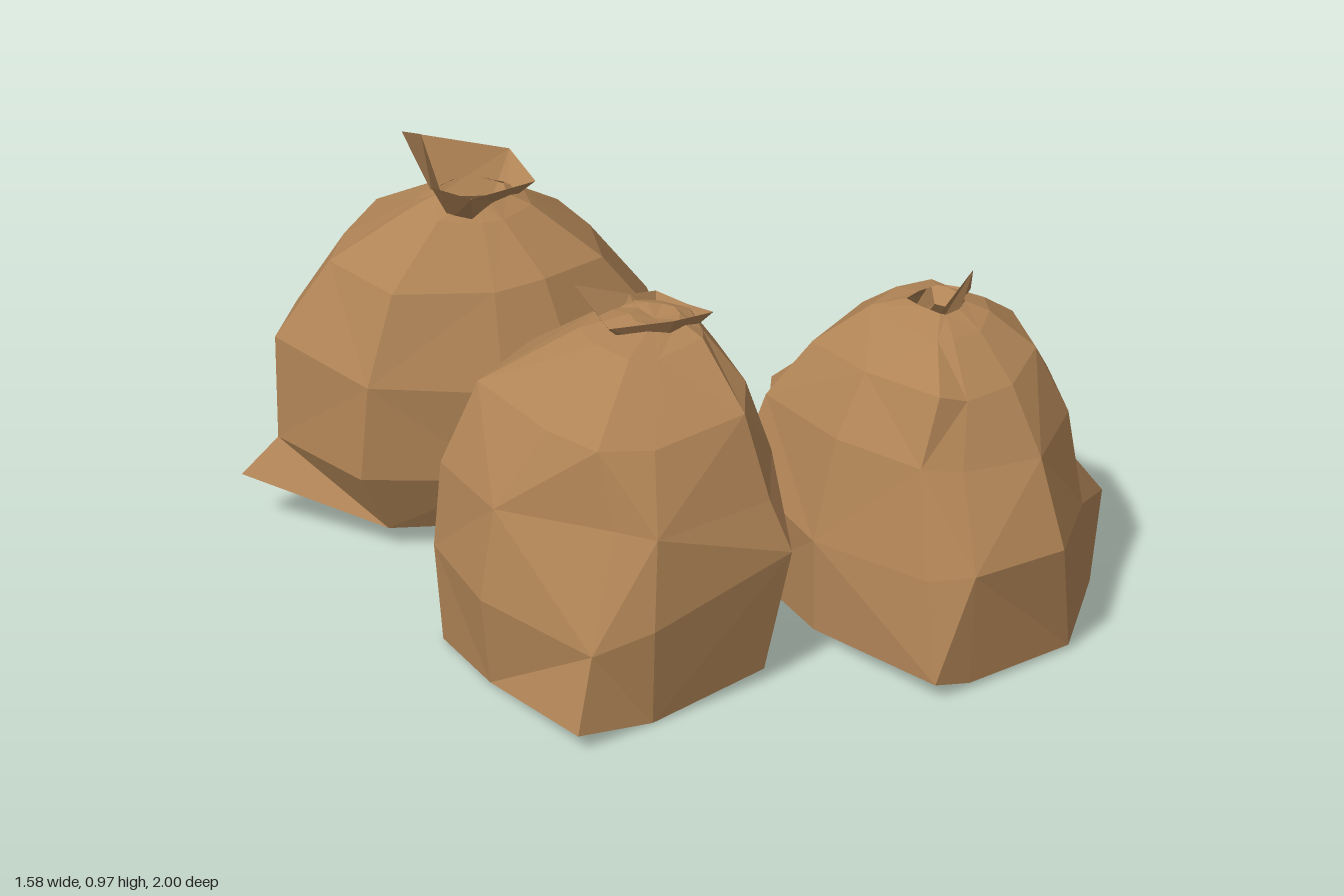
import * as THREE from 'three';

const paper = new THREE.MeshStandardMaterial({ color: 0xb08456, side: THREE.DoubleSide });
paper.name = 'brown sack';

// Small seeded noise for the crumpled surface
function makeNoise(seed) {
  let s = seed;
  return (amount) => {
    s = (s * 16807) % 2147483647;
    return (s / 2147483647 - 0.5) * 2 * amount;
  };
}

// Joins rings of points (bottom to top, counterclockwise from above) into flat facets.
// Optional end points close the first and last ring.
function loft(rings, bottom, top) {
  const pos = [];
  const tri = (a, b, c) => pos.push(...a, ...b, ...c);
  const n = rings[0].length;
  for (let i = 0; i < rings.length - 1; i++) {
    for (let j = 0; j < n; j++) {
      const k = (j + 1) % n;
      const a = rings[i][j], b = rings[i][k], c = rings[i + 1][k], d = rings[i + 1][j];
      if ((i + j) % 2) { tri(a, b, c); tri(a, c, d); }
      else { tri(a, b, d); tri(b, c, d); }
    }
  }
  const last = rings[rings.length - 1];
  for (let j = 0; j < n; j++) {
    const k = (j + 1) % n;
    if (bottom) tri(rings[0][k], rings[0][j], bottom);
    if (top) tri(last[j], last[k], top);
  }
  const g = new THREE.BufferGeometry();
  g.setAttribute('position', new THREE.Float32BufferAttribute(pos, 3));
  g.computeVertexNormals();
  return g;
}

// One sack: plan outline swept through [height, scale, drift towards the neck],
// with some corners pulled to [ring, index, point], and a gathered knot on top.
// An open sack has a hole in its underside and at the neck.
function makeSack({ name, open, outline, centre, neck, profile, pulls, knot, seed }) {
  const noise = makeNoise(seed);
  const rings = profile.map(([y, scale, drift], i) => {
    const cx = THREE.MathUtils.lerp(centre[0], neck[0], drift);
    const cz = THREE.MathUtils.lerp(centre[1], neck[2], drift);
    const rough = i < 2 ? 0.01 : 0.028 * scale;
    return outline.map(([x, z]) => [
      cx + (x - centre[0]) * scale + noise(rough * 0.6),
      y + noise(rough),
      cz + (z - centre[1]) * scale + noise(rough * 0.6),
    ]);
  });
  for (const [ring, index, point] of pulls) rings[ring][index] = point;

  const sack = new THREE.Group();
  sack.name = name;
  const base = open ? null : [centre[0], profile[0][0], centre[1]];
  const body = new THREE.Mesh(loft(rings, base, open ? null : neck), paper);
  body.name = name + 'Body';

  // Ragged gathered paper flaring from the neck
  const foot = knot.map(([x, , z]) => [
    neck[0] + (x - neck[0]) * 0.55, neck[1] - 0.04, neck[2] + (z - neck[2]) * 0.55,
  ]);
  const tie = new THREE.Mesh(loft([foot, knot]), paper);
  tie.name = name + 'Knot';
  sack.add(body, tie);
  return sack;
}

export function createModel() {
  const model = new THREE.Group();
  model.name = 'sackPile';

  model.add(makeSack({
    name: 'backSack', seed: 11, open: true,
    outline: [[0.3, -0.38], [0.33, -0.62], [0.15, -0.93], [-0.15, -0.99], [-0.4, -0.87],
      [-0.57, -0.74], [-0.59, -0.4], [-0.33, -0.2], [-0.18, -0.13], [0.14, -0.13]],
    centre: [-0.12, -0.55], neck: [-0.18, 0.82, -0.47],
    profile: [[0.09, 0.64, 0], [0.06, 0.82, 0], [0.23, 0.98, 0], [0.46, 0.97, 0],
      [0.67, 0.7, 0.4], [0.79, 0.3, 0.95], [0.82, 0.17, 1]],
    pulls: [[1, 1, [0.43, 0.1, -0.62]], [1, 5, [-0.66, 0.14, -0.77]],
      [2, 3, [-0.15, 0.23, -1]], [4, 2, [0.02, 0.69, -0.8]], [4, 9, [0, 0.67, -0.22]]],
    knot: [[-0.05, 0.88, -0.48], [-0.24, 0.93, -0.64], [-0.3, 0.98, -0.5],
      [-0.35, 0.89, -0.41], [-0.3, 0.87, -0.33], [-0.06, 0.83, -0.38]],
  }));

  model.add(makeSack({
    name: 'rightSack', seed: 29, open: false,
    outline: [[-0.01, 0.25], [-0.03, 0], [-0.2, -0.16], [-0.38, -0.2], [-0.7, -0.05],
      [-0.77, 0.2], [-0.77, 0.5], [-0.62, 0.58], [-0.26, 0.63], [-0.12, 0.49]],
    centre: [-0.4, 0.22], neck: [-0.24, 0.73, 0.2],
    profile: [[0.02, 0.92, 0], [0.24, 0.98, 0], [0.45, 0.9, 0.08], [0.62, 0.7, 0.25],
      [0.72, 0.34, 0.75], [0.74, 0.14, 1]],
    pulls: [[0, 6, [-0.79, 0.05, 0.53]], [0, 8, [-0.3, 0.04, 0.6]],
      [0, 2, [-0.22, 0.02, -0.05]], [0, 3, [-0.4, 0.02, -0.07]],
      [1, 6, [-0.72, 0.2, 0.5]], [1, 8, [-0.26, 0.33, 0.64]],
      [2, 0, [-0.08, 0.5, 0.25]], [2, 1, [-0.09, 0.48, 0.01]], [2, 6, [-0.62, 0.45, 0.47]],
      [3, 4, [-0.6, 0.64, 0.02]], [3, 5, [-0.63, 0.62, 0.27]]],
    knot: [[-0.09, 0.7, 0.15], [-0.12, 0.72, 0.08], [-0.22, 0.75, 0.1], [-0.35, 0.8, 0.06],
      [-0.38, 0.75, 0.2], [-0.28, 0.77, 0.3], [-0.14, 0.74, 0.28]],
  }));

  const frontSack = makeSack({
    name: 'frontSack', seed: 47, open: true,
    outline: [[0.65, 0.64], [0.64, 0.4], [0.57, 0.24], [0.3, 0.15], [-0.01, 0.22],
      [-0.11, 0.55], [-0.11, 0.91], [-0.02, 0.95], [0.22, 0.99], [0.46, 0.88]],
    centre: [0.28, 0.58], neck: [0.28, 0.73, 0.57],
    profile: [[0.03, 0.5, 0], [0.03, 0.95, 0], [0.27, 0.98, 0], [0.48, 0.83, 0.3],
      [0.63, 0.59, 0.7], [0.71, 0.32, 1], [0.73, 0.16, 1]],
    pulls: [[1, 0, [0.79, 0.1, 0.66]], [1, 9, [0.54, 0.02, 0.83]], [1, 8, [0.28, 0.02, 0.98]],
      [1, 6, [-0.1, 0.05, 0.92]], [2, 6, [-0.07, 0.27, 0.86]], [2, 8, [0.22, 0.29, 1]],
      [2, 9, [0.43, 0.28, 0.88]], [3, 1, [0.6, 0.52, 0.45]], [3, 6, [-0.01, 0.49, 0.78]],
      [3, 7, [0.06, 0.48, 0.84]]],
    knot: [[0.37, 0.73, 0.58], [0.35, 0.72, 0.48], [0.2, 0.71, 0.55],
      [0.22, 0.73, 0.62], [0.28, 0.83, 0.66]],
  });
  // Pinched fold sticking out behind the front sack
  const foldRoot = [[0.42, 0.34, 0.17], [0.27, 0.5, 0.22], [0.14, 0.34, 0.18]];
  const fold = new THREE.Mesh(loft([foldRoot], null, [0.3, 0.35, 0.04]), paper);
  fold.name = 'frontSackFold';
  frontSack.add(fold);
  model.add(frontSack);

  return model;
}
